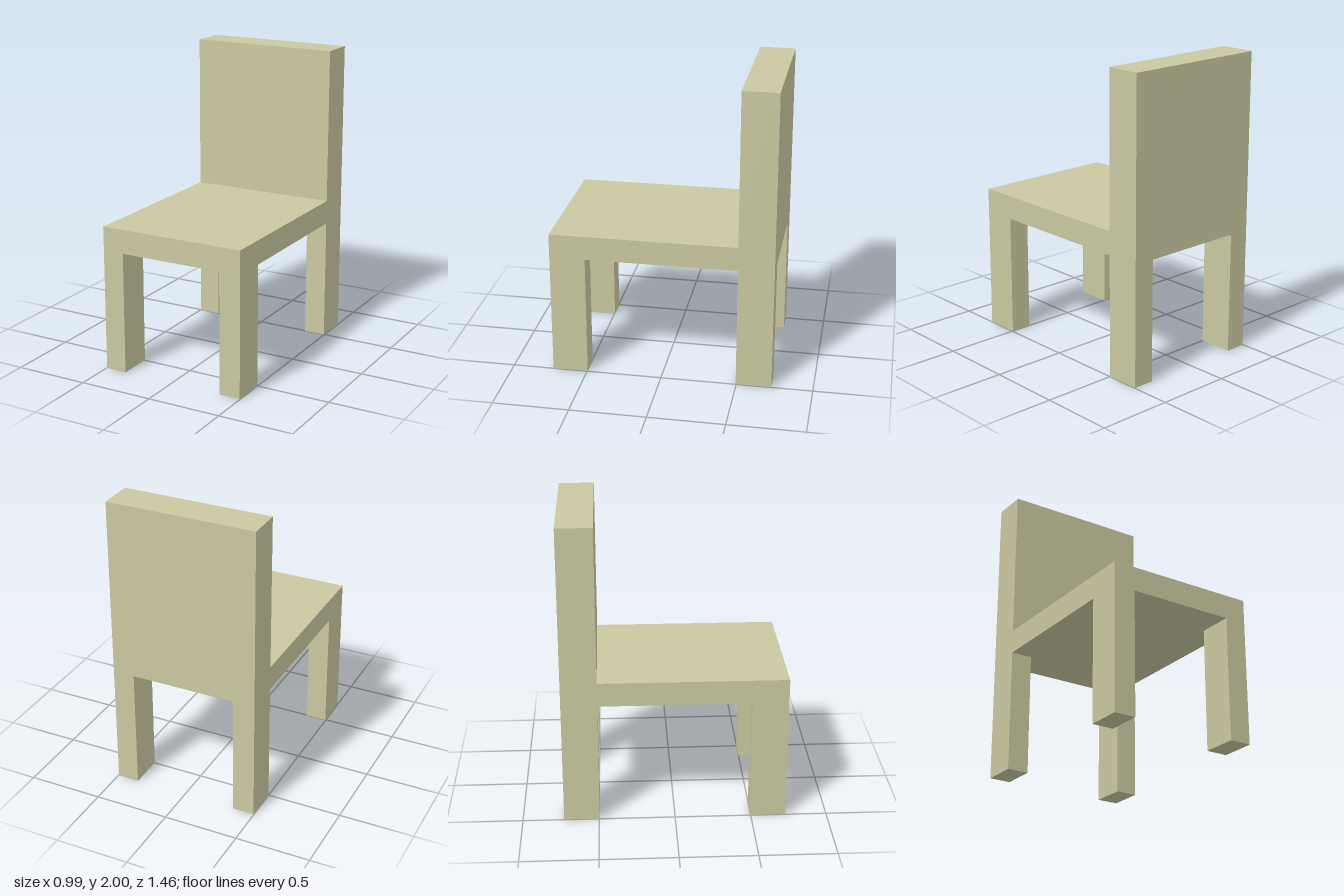
import * as THREE from 'three';

export function createModel() {
  const group = new THREE.Group();
  const wood = new THREE.MeshStandardMaterial({ color: 0xcac8a0 });
  wood.name = 'paleWood';

  const W = 0.994, D = 1.46, H = 2;         // overall size
  const seatBottom = 0.815, seatTop = 0.974;
  const legW = 0.145, legD = 0.234;         // the back is as thick as the legs

  // Box standing on height y, centred on x and z
  function block(name, w, h, d, x, y, z) {
    const mesh = new THREE.Mesh(new THREE.BoxGeometry(w, h, d), wood);
    mesh.name = name;
    mesh.position.set(x, y + h / 2, z);
    group.add(mesh);
  }

  block('seat', W, seatTop - seatBottom, D, 0, seatBottom, 0);
  block('backrest', W, H - seatTop, legD, 0, seatTop, -(D - legD) / 2);

  // Four legs flush with the seat corners
  for (const [side, sx] of [['Left', 1], ['Right', -1]]) {
    for (const [end, sz] of [['front', 1], ['back', -1]]) {
      block(end + side + 'Leg', legW, seatBottom, legD, sx * (W - legW) / 2, 0, sz * (D - legD) / 2);
    }
  }
  return group;
}
